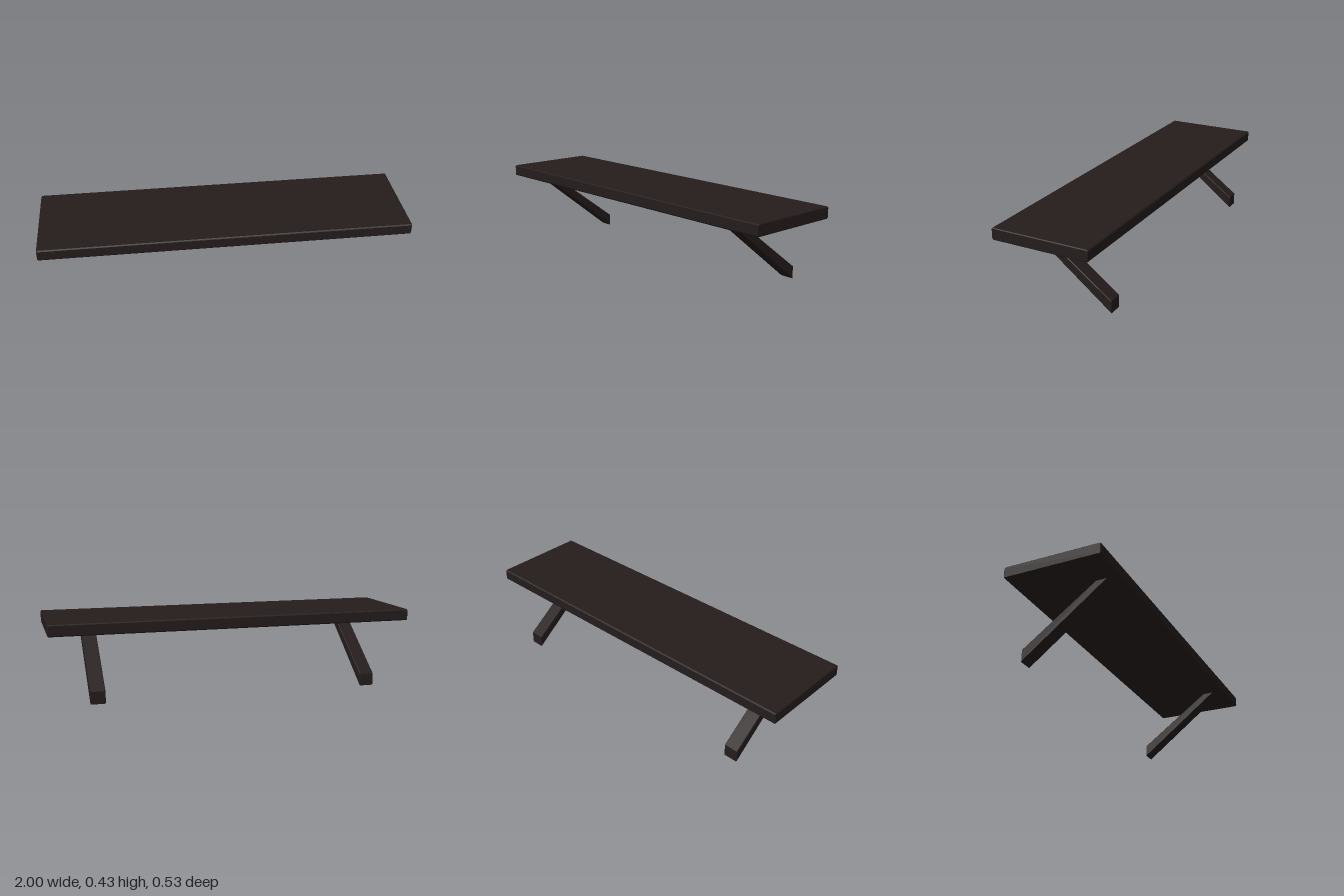
import * as THREE from 'three';

const material = new THREE.MeshStandardMaterial({ color: 0x251c1c });

// Extrudes a (z, y) side profile along x, centred, with chamfered edges.
function sidePanel(name, points, width, bevel) {
  const shape = new THREE.Shape(points.map(([z, y]) => new THREE.Vector2(z, y)));
  const depth = width - 2 * bevel;
  const geometry = new THREE.ExtrudeGeometry(shape, {
    depth,
    bevelEnabled: true,
    bevelThickness: bevel,
    bevelSize: bevel,
    bevelOffset: -bevel,
    bevelSegments: 1,
  });
  geometry.translate(0, 0, -depth / 2);
  geometry.rotateY(-Math.PI / 2);
  const mesh = new THREE.Mesh(geometry, material);
  mesh.name = name;
  return mesh;
}

export function createModel() {
  const group = new THREE.Group();
  group.name = 'wallShelf';

  // Board with chamfered long edges
  const z = 0.266, bottom = 0.362, top = 0.425, c = 0.006;
  group.add(sidePanel('shelfBoard', [
    [-z + c, bottom], [z - c, bottom], [z, bottom + c], [z, top - c],
    [z - c, top], [-z + c, top], [-z, top - c], [-z, bottom + c],
  ], 2, 0.004));

  // Diagonal brackets, cut flush with the wall and the underside of the board
  for (const side of [-1, 1]) {
    const bracket = sidePanel(side > 0 ? 'leftBracket' : 'rightBracket', [
      [-z, 0], [0.2, bottom], [0.136, bottom], [-z, 0.067],
    ], 0.08, 0.003);
    bracket.position.x = side * 0.757;
    group.add(bracket);
  }
  return group;
}
